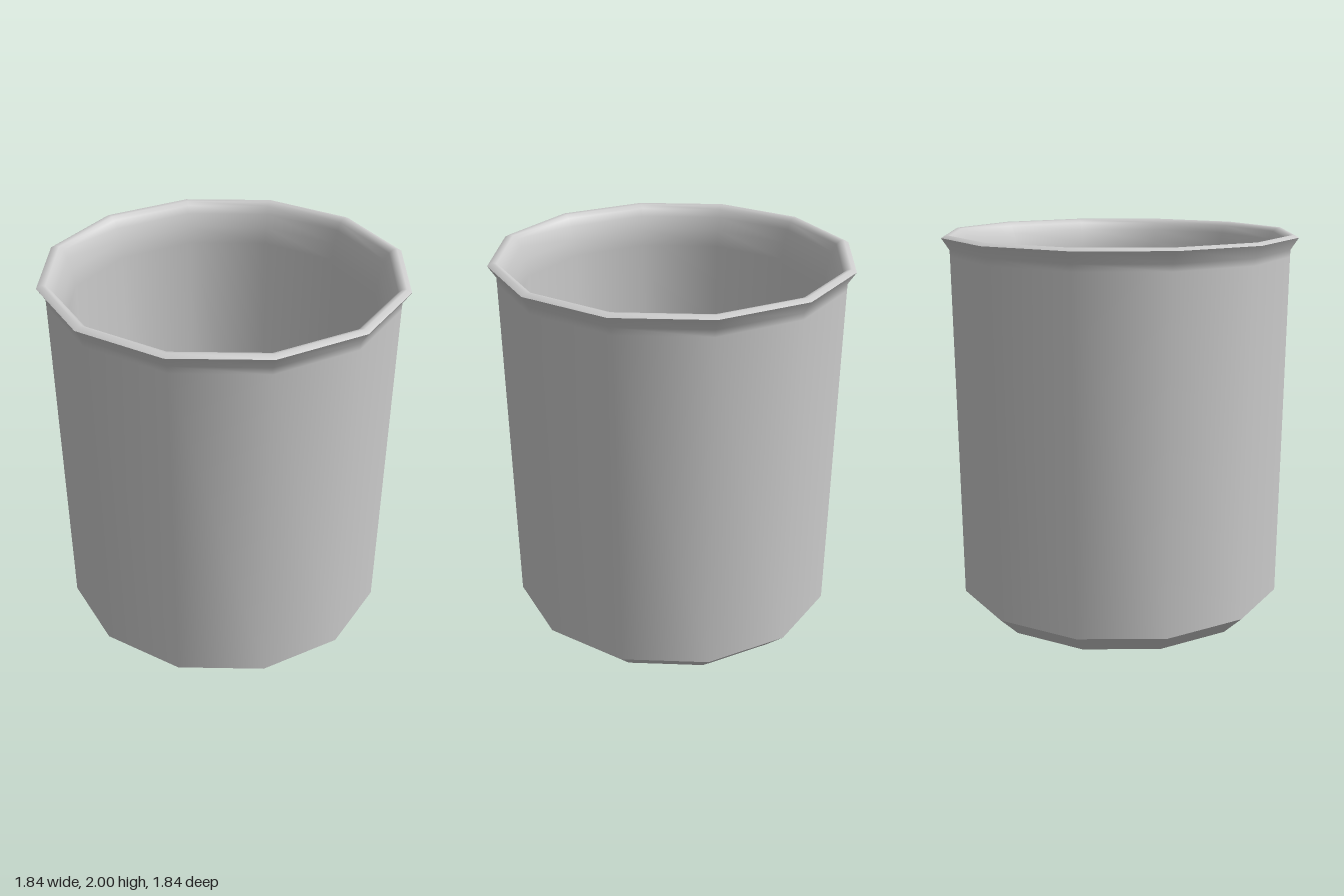
import * as THREE from 'three';

const SIDES = 12;

export function createModel() {
  const group = new THREE.Group();
  group.name = 'cup';
  const material = new THREE.MeshStandardMaterial({ color: 0xcccccc });

  // Each band is smooth in itself and meets its neighbours at a sharp edge
  const addBand = (name, points) => {
    const profile = points.map(([r, y]) => new THREE.Vector2(r, y));
    const mesh = new THREE.Mesh(new THREE.LatheGeometry(profile, SIDES), material);
    mesh.name = name;
    group.add(mesh);
  };

  // Outside, from the underside up to the edge of the lip
  addBand('underside', [[0, 0], [0.75, 0]]);
  addBand('footBevel', [[0.75, 0], [0.86, 0.105]]);
  addBand('outerWall', [[0.86, 0.105], [0.879, 1.89], [0.88, 1.925], [0.92, 1.986]]);

  // Rounded lip flowing down into the thick inner wall
  addBand('lipAndInnerWall', [
    [0.92, 1.986], [0.895, 2], [0.875, 1.996], [0.855, 1.979], [0.835, 1.94],
    [0.815, 1.87], [0.803, 1.78], [0.797, 0.11],
  ]);

  // Inside bottom
  addBand('innerBevel', [[0.797, 0.11], [0.765, 0.08]]);
  addBand('floor', [[0.765, 0.08], [0, 0.08]]);

  return group;
}
